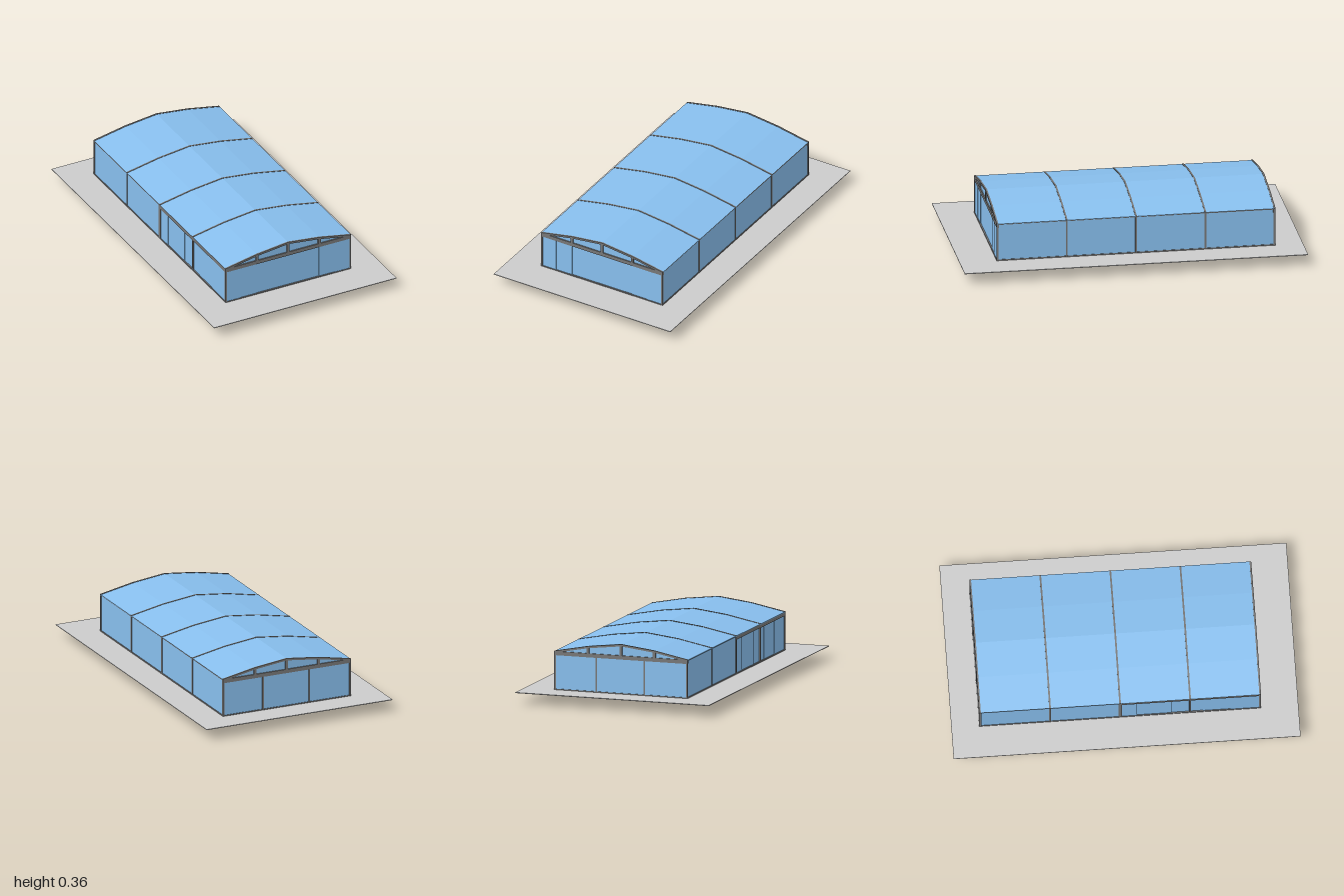
import * as THREE from 'three';

const glass = new THREE.MeshStandardMaterial({ color: 0x88bfee, side: THREE.DoubleSide });
const metal = new THREE.MeshStandardMaterial({ color: 0x777777 });
const stone = new THREE.MeshStandardMaterial({ color: 0xcccccc });

// Main dimensions
const X0 = -0.405, X1 = 0.412, Z0 = -0.84, Z1 = 0.785;
const DECK = 0.07, EAVE = 0.295, BEAM = 0.272, BAR = 0.01;
const ROOF = [[X0, 0.297], [-0.2, 0.337], [0.003, 0.361], [0.206, 0.337], [X1, 0.297]];

function add(parent, name, geometry, material) {
  const mesh = new THREE.Mesh(geometry, material);
  mesh.name = name;
  parent.add(mesh);
  return mesh;
}

// Box given by its lower and upper limits
function block(parent, name, material, x0, x1, y0, y1, z0, z1) {
  const mesh = add(parent, name, new THREE.BoxGeometry(x1 - x0, y1 - y0, z1 - z0), material);
  mesh.position.set((x0 + x1) / 2, (y0 + y1) / 2, (z0 + z1) / 2);
  return mesh;
}

// Band following the roof line, extruded along z
function arch(parent, name, material, drop, thick, z0, z1) {
  const top = ROOF.map(([x, y]) => new THREE.Vector2(x, y - drop));
  const under = ROOF.map(([x, y]) => new THREE.Vector2(x, y - drop - thick)).reverse();
  const geometry = new THREE.ExtrudeGeometry(new THREE.Shape([...top, ...under]),
    { depth: z1 - z0, bevelEnabled: false });
  add(parent, name, geometry, material).position.z = z0;
}

// Gable end: side = 1 at the front, -1 at the back
function gable(side) {
  const end = new THREE.Group();
  end.name = side > 0 ? 'frontGable' : 'backGable';
  const face = side > 0 ? Z1 : Z0;
  const bar = (name, mat, x0, x1, y0, y1, inset, depth) => {
    const a = face - side * inset, b = face - side * (inset + depth);
    block(end, name, mat, x0, x1, y0, y1, Math.min(a, b), Math.max(a, b));
  };
  bar('gableBeam', metal, X0, X1, BEAM, EAVE, 0, 0.014);
  bar('gableSill', metal, X0, X1, DECK, DECK + 0.005, 0, 0.014);
  for (const x of [X0, X1 - 0.008]) bar('cornerPost', metal, x, x + 0.008, DECK, EAVE, 0, 0.012);
  [[-0.2, 0.336], [0.003, 0.36], [0.206, 0.336]].forEach(([x, y]) =>
    bar('gableStrut', metal, x - 0.008, x + 0.008, EAVE, y - 0.006, 0, 0.01));

  // Glazing between beam and roof
  const outline = new THREE.Shape([[X0 + 0.004, BEAM], [X1 - 0.004, BEAM],
    ...ROOF.slice().reverse().map(([x, y]) => [x, y - 0.004])].map(p => new THREE.Vector2(...p)));
  add(end, 'gableGlass', new THREE.ShapeGeometry(outline), glass).position.z = face - side * 0.007;

  if (side > 0) {
    // Sliding doors on two tracks
    const edges = [X0 + 0.006, -0.305, -0.2, -0.1, 0.003, 0.1, 0.205, 0.305, X1 - 0.006];
    const inset = [0.003, 0.006, 0.009, 0.009, 0.009, 0.009, 0.006, 0.003];
    inset.forEach((d, i) =>
      bar('slidingPane', glass, edges[i], edges[i + 1], DECK + 0.004, BEAM, d, 0.003));
  } else {
    bar('endPane', glass, X0 + 0.004, X1 - 0.004, DECK + 0.004, BEAM, 0.005, 0.003);
    for (const x of [-0.14, 0.155]) bar('mullion', metal, x - 0.004, x + 0.004, DECK, BEAM, 0, 0.01);
  }
  return end;
}

export function createModel() {
  const model = new THREE.Group();
  model.name = 'poolEnclosure';

  // Paved deck with the pool opening
  const P = { x0: -0.315, x1: 0.325, z0: -0.64, z1: 0.545 };
  const rect = (T, x0, x1, z0, z1) =>
    new T([[x0, -z0], [x1, -z0], [x1, -z1], [x0, -z1]].map(p => new THREE.Vector2(...p)));
  const slab = rect(THREE.Shape, -0.593, 0.593, -1, 1);
  slab.holes.push(rect(THREE.Path, P.x0, P.x1, P.z0, P.z1));
  const deck = add(model, 'deck', new THREE.ExtrudeGeometry(slab, { depth: 0.004, bevelEnabled: false }), stone);
  deck.rotation.x = -Math.PI / 2;
  deck.position.y = DECK - 0.004;

  // Pool basin filled with water
  block(model, 'pool', glass, P.x0, P.x1, 0, DECK - 0.002, P.z0, P.z1);

  // Roof sheet and the ribs and side posts that carry it
  arch(model, 'roofGlass', glass, 0.002, 0.004, Z0 + 0.003, Z1 - 0.003);
  const frames = [0, 1, 2, 3, 4].map(i => Z0 + BAR / 2 + i * (Z1 - Z0 - BAR) / 4);
  for (const z of frames) {
    const h = BAR / 2;
    arch(model, 'roofRib', metal, 0, 0.012, z - h, z + h);
    block(model, 'leftPost', metal, X1 - BAR, X1, DECK, EAVE, z - h, z + h);
    block(model, 'rightPost', metal, X0, X0 + BAR, DECK, EAVE, z - h, z + h);
  }

  // Long side rails
  for (const [x, label] of [[X0, 'right'], [X1 - 0.008, 'left']]) {
    block(model, label + 'Sill', metal, x, x + 0.008, DECK, DECK + 0.007, Z0, Z1);
    block(model, label + 'EaveRail', metal, x, x + 0.008, EAVE - 0.006, EAVE, Z0, Z1);
  }

  // Fixed side glass
  const mid = frames[2];
  block(model, 'leftGlass', glass, X1 - 0.006, X1 - 0.003, DECK, EAVE, Z0 + 0.005, Z1 - 0.005);
  block(model, 'rightGlass', glass, X0 + 0.003, X0 + 0.006, DECK, EAVE, Z0 + 0.005, mid);

  // Sliding doors in the front half of the right side
  block(model, 'doorTrack', metal, X0, X0 + 0.014, BEAM, EAVE, mid, Z1);
  block(model, 'doorJamb', metal, X0, X0 + 0.014, DECK, EAVE, mid - 0.01, mid + 0.01);
  const stops = [mid, 0.07, 0.27, 0.45, 0.61, Z1 - 0.006];
  [0.003, 0.006, 0.009, 0.006, 0.003].forEach((d, i) =>
    block(model, 'sideDoor', glass, X0 + d, X0 + d + 0.003, DECK + 0.004, BEAM, stops[i], stops[i + 1]));

  model.add(gable(1), gable(-1));
  return model;
}
